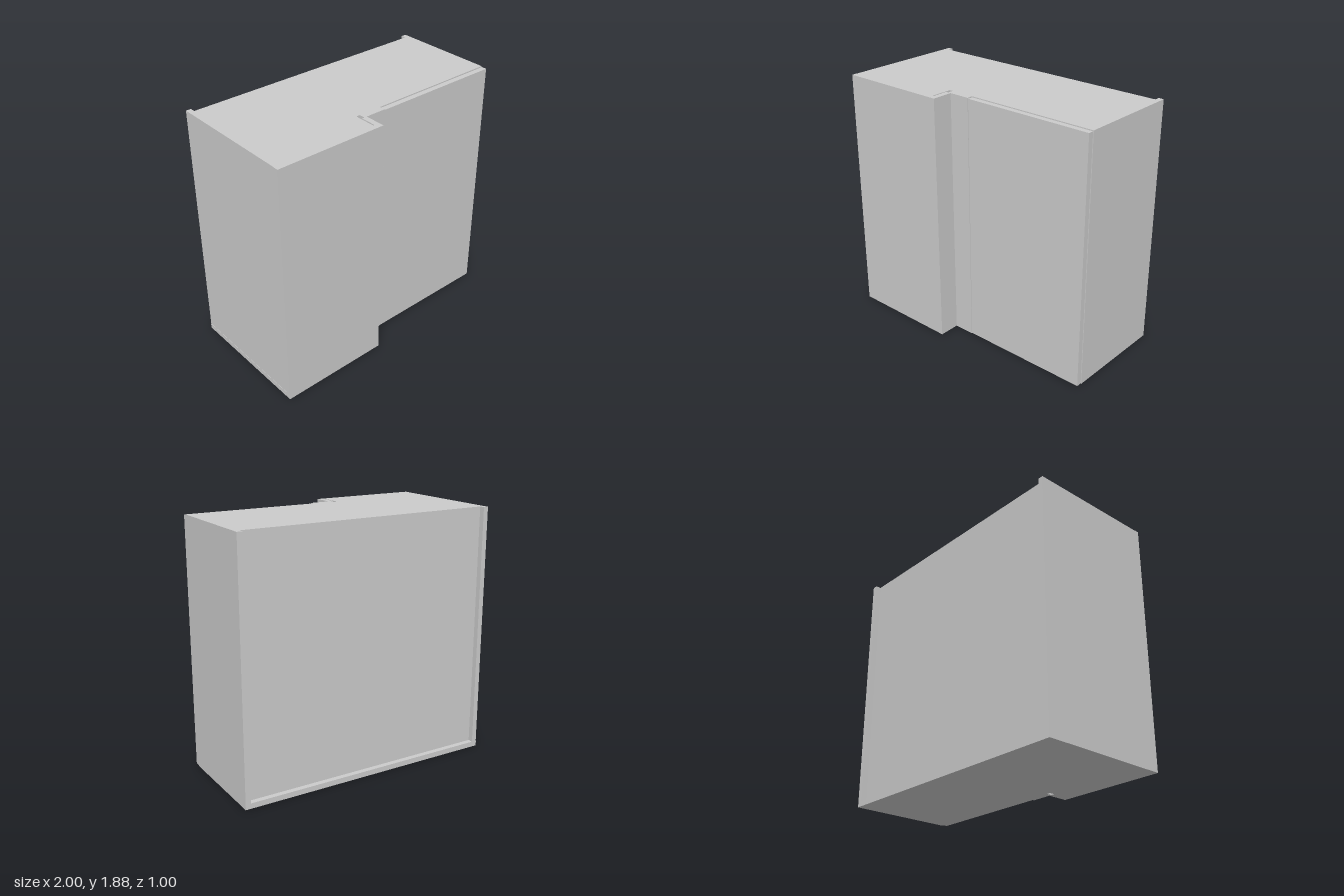
import * as THREE from 'three';

const H = 1.875; // overall height
const T = 0.04; // board thickness

export function createModel() {
  const group = new THREE.Group();
  const material = new THREE.MeshStandardMaterial({ color: 0xcccccc });

  const add = (name, geometry) => {
    const mesh = new THREE.Mesh(geometry, material);
    mesh.name = name;
    group.add(mesh);
  };

  // Upright or flat board given by its limits on each axis
  const board = (name, x0, x1, y0, y1, z0, z1) => {
    const geometry = new THREE.BoxGeometry(x1 - x0, y1 - y0, z1 - z0);
    geometry.translate((x0 + x1) / 2, (y0 + y1) / 2, (z0 + z1) / 2);
    add(name, geometry);
  };

  // Horizontal board with an outline of [x, z] points
  const deck = (name, points, y) => {
    const shape = new THREE.Shape(points.map(([x, z]) => new THREE.Vector2(x, -z)));
    const geometry = new THREE.ExtrudeGeometry(shape, { depth: T, bevelEnabled: false });
    geometry.rotateX(-Math.PI / 2).translate(0, y, 0);
    add(name, geometry);
  };

  // Carcass: the top stops at the back panel, the bottom runs on to the rear edge
  deck('topPanel', [
    [-0.96, -0.46], [0.96, -0.46], [0.96, 0.295], [-0.21, 0.295], [-0.21, 0.46], [-0.96, 0.46],
  ], H - T);
  deck('bottomPanel', [
    [-1, -0.5], [0.96, -0.5], [0.96, 0.295], [-0.21, 0.295], [-0.21, 0.34],
    [-0.2, 0.34], [-0.2, 0.46], [-1, 0.46],
  ], 0);
  board('rightSidePanel', -0.998, -0.96, T, H, -0.5, 0.46);
  board('leftSidePanel', 0.96, 1, 0, H, -0.5, 0.295);
  board('backPanel', -0.96, 0.96, T, H - T, -0.46, -0.44);
  board('middleShelf', -0.96, 0.96, 0.92, 0.96, -0.44, 0.28);

  // Projecting front with its return, leaving a narrow slot beside the inner post
  board('blindFrontPanel', -1, -0.2, 0, H, 0.46, 0.5);
  board('returnPanel', -0.2, -0.16, 0, H, 0.34, 0.5);
  board('innerPost', -0.25, -0.21, T, H - T, 0.295, 0.46);
  board('fillerPanel', -0.18, -0.002, 0, H, 0.295, 0.34);

  // Door with small clearance all round
  board('door', 0.003, 0.998, 0.005, H - 0.005, 0.3, 0.34);

  return group;
}
